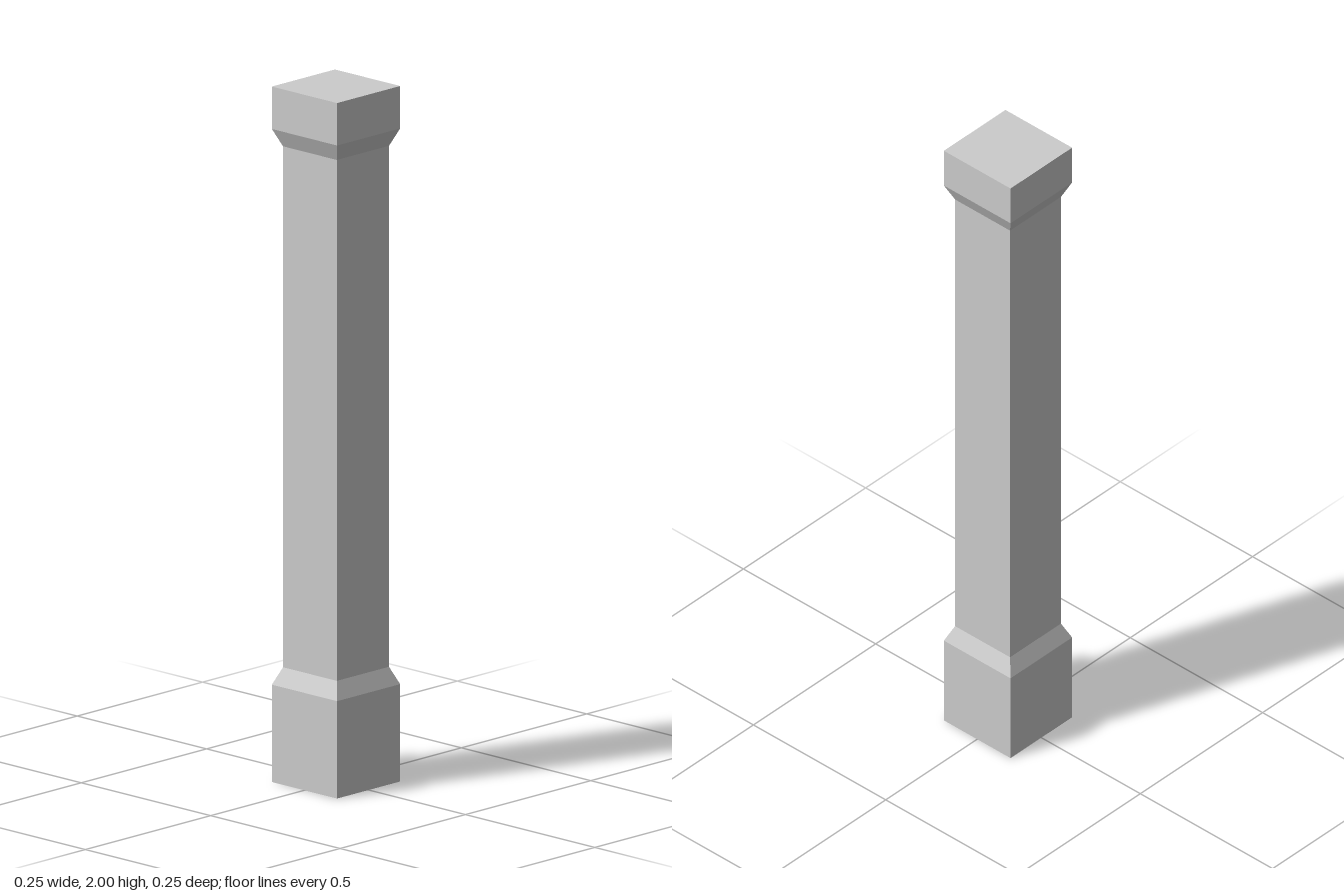
import * as THREE from 'three';

const WIDE = 0.126; // half width of base and capital
const SLIM = 0.104; // half width of shaft

export function createModel() {
  const group = new THREE.Group();
  group.name = 'squareColumn';
  const material = new THREE.MeshStandardMaterial({ color: 0xcccccc, flatShading: true });

  // Four-sided section from y0 to y1, tapering between two half widths
  function section(name, y0, y1, bottomHalf, topHalf) {
    const geometry = new THREE.CylinderGeometry(
      topHalf * Math.SQRT2, bottomHalf * Math.SQRT2, y1 - y0, 4, 1, true, Math.PI / 4);
    geometry.translate(0, (y0 + y1) / 2, 0);
    const mesh = new THREE.Mesh(geometry, material);
    mesh.name = name;
    group.add(mesh);
  }

  // Square face closing one end
  function endFace(name, y, tilt) {
    const geometry = new THREE.PlaneGeometry(WIDE * 2, WIDE * 2);
    geometry.rotateX(tilt).translate(0, y, 0);
    const mesh = new THREE.Mesh(geometry, material);
    mesh.name = name;
    group.add(mesh);
  }

  endFace('baseUnderside', 0, Math.PI / 2);
  section('base', 0, 0.28, WIDE, WIDE);
  section('baseChamfer', 0.28, 0.33, WIDE, SLIM);
  section('shaft', 0.33, 1.828, SLIM, SLIM);
  section('capitalChamfer', 1.828, 1.878, SLIM, WIDE);
  section('capital', 1.878, 2, WIDE, WIDE);
  endFace('capitalTop', 2, -Math.PI / 2);

  return group;
}
